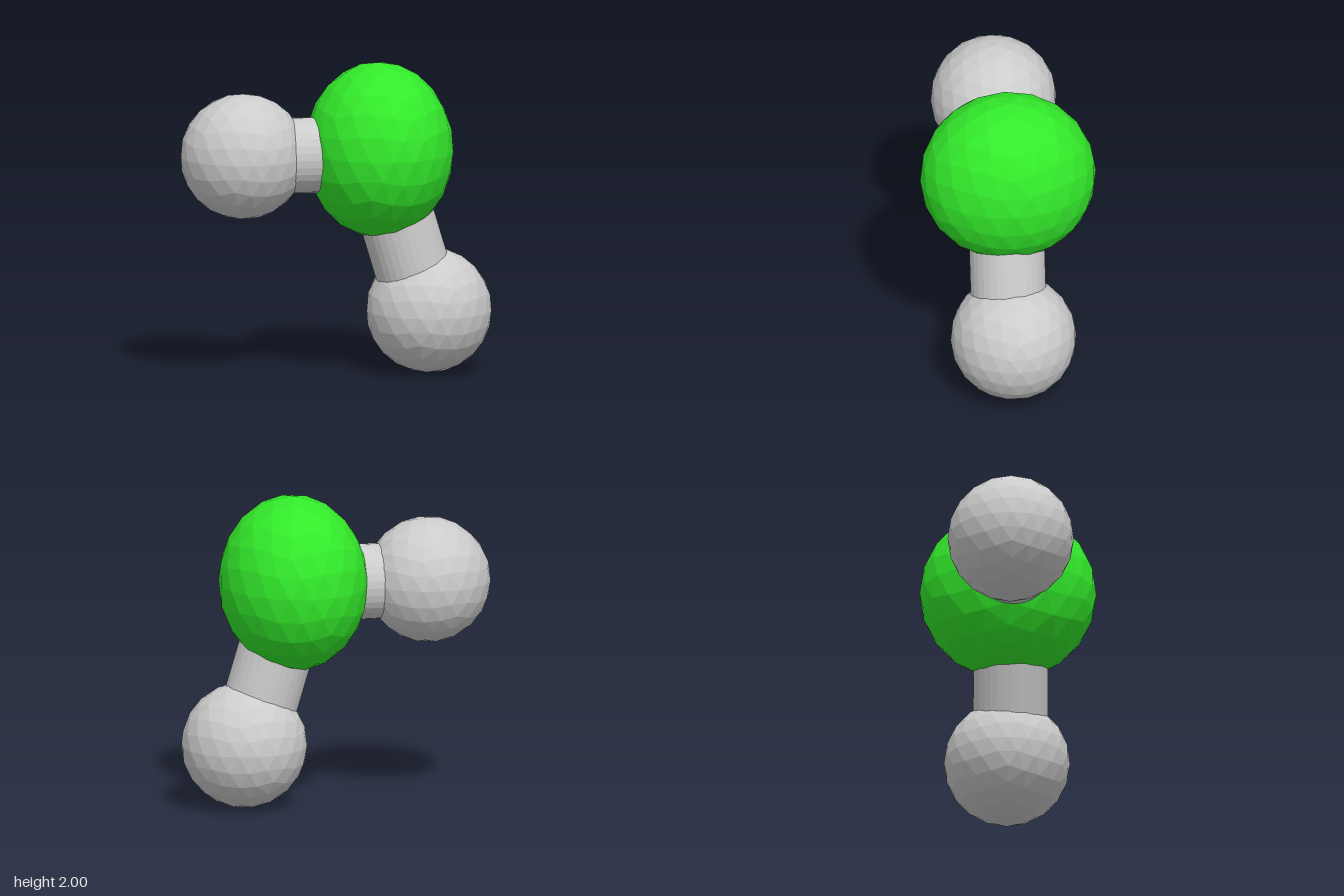
import * as THREE from 'three';

const grey = new THREE.MeshStandardMaterial({ color: 0xcccccc, flatShading: true });
const green = new THREE.MeshStandardMaterial({ color: 0x33ea2b, flatShading: true });

// Faceted ball of 320 triangles, split by repeated halving, with a vertex at each pole
function icoSphere() {
  let geo = new THREE.IcosahedronGeometry(1, 1);
  const points = Array.from(geo.attributes.position.array);
  geo = new THREE.PolyhedronGeometry(points, points.slice(0, points.length / 3).map((_, i) => i), 1, 1);
  geo.rotateZ(-Math.atan(2 / (1 + Math.sqrt(5))));
  return geo;
}

function ball(name, material, centre, radii) {
  const geo = icoSphere().scale(...radii);
  geo.computeVertexNormals();
  const mesh = new THREE.Mesh(geo, material);
  mesh.name = name;
  mesh.position.set(...centre);
  return mesh;
}

// Round connector between two points
function rod(name, from, to, radius) {
  const a = new THREE.Vector3(...from), b = new THREE.Vector3(...to);
  const axis = b.clone().sub(a);
  const mesh = new THREE.Mesh(new THREE.CylinderGeometry(radius, radius, axis.length(), 32), grey);
  mesh.name = name;
  mesh.position.copy(a).add(b).multiplyScalar(0.5);
  mesh.quaternion.setFromUnitVectors(new THREE.Vector3(0, 1, 0), axis.normalize());
  return mesh;
}

export function createModel() {
  const model = new THREE.Group();
  model.name = 'molecule';
  model.add(
    // Large central atom, squashed along x
    ball('centralAtom', green, [0.275, 1.44, 0], [0.47, 0.56, 0.56]),
    // Two smaller outer atoms
    ball('sideAtom', grey, [-0.6, 1.42, 0], [0.4, 0.4, 0.4]),
    ball('lowerAtom', grey, [0.595, 0.405, 0], [0.4, 0.4, 0.4]),
    // Bonds, with their ends buried in the atoms
    rod('sideBond', [-0.45, 1.42, 0.02], [0.05, 1.42, 0.02], 0.24),
    rod('lowerBond', [0.34, 1.155, 0.02], [0.52, 0.555, 0.02], 0.24),
  );
  return model;
}
